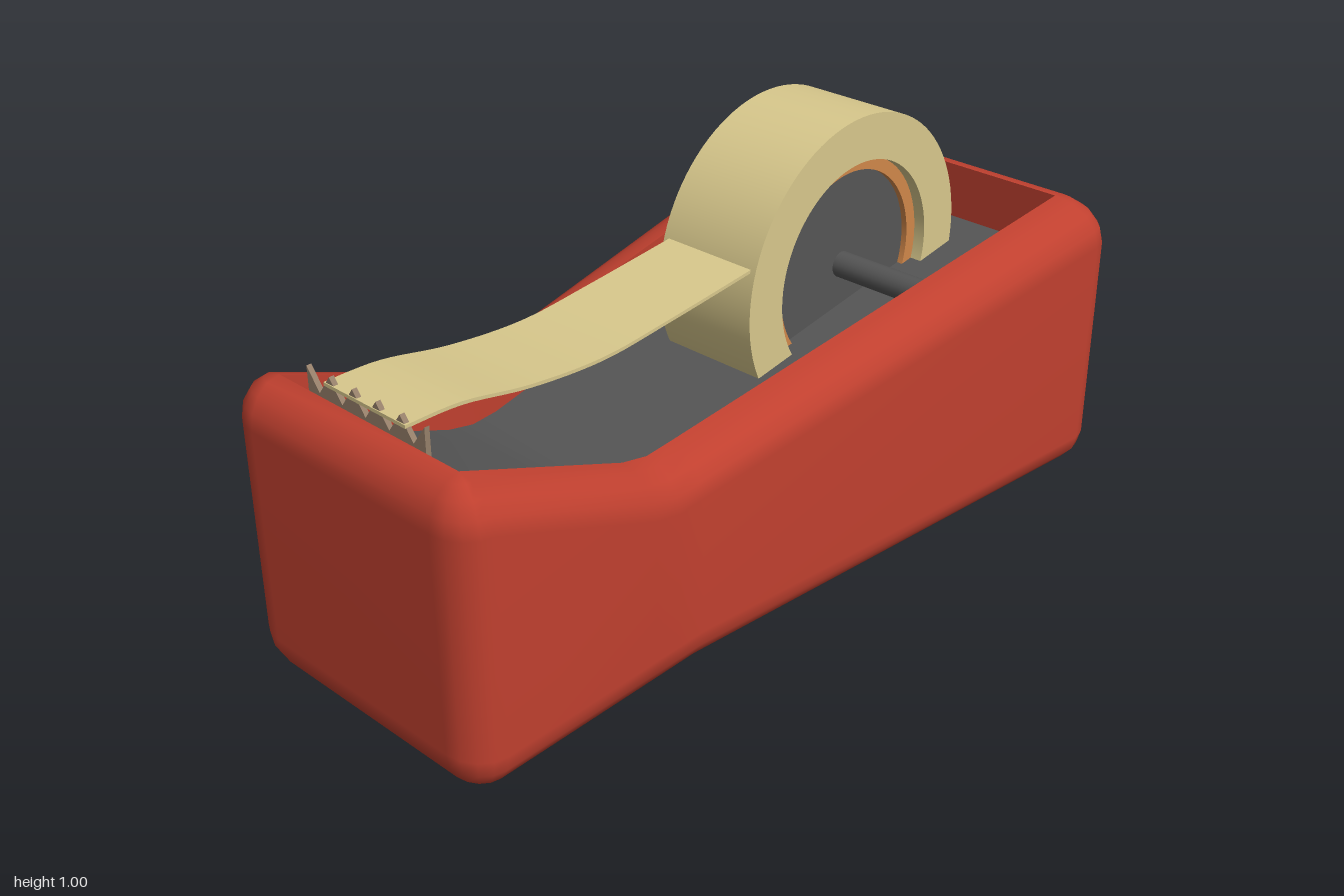
import * as THREE from 'three';
import { mergeVertices, toCreasedNormals } from 'three/addons/utils/BufferGeometryUtils.js';

const mat = (name, color) => {
  const m = new THREE.MeshStandardMaterial({ color });
  m.name = name;
  return m;
};

// Height of the rim along the length
const PROFILE = [[-0.92, 0.712], [-0.5, 0.546], [-0.43, 0.531], [-0.36, 0.536], [0.9, 0.727]];
// Half width of the opening, and how far the rounded wall swells beyond it
const wide = (x) => Math.max(0, (x + 0.36) / 1.26);
const innerZ = (x) => 0.275 + 0.095 * wide(x);
const swellZ = (x) => 0.095 + 0.035 * wide(x);

// Plan outline: front side left to right, then the back mirrored; corners are fans
function outline() {
  const front = [];
  PROFILE.forEach(([x, h], i) => {
    const end = i === 0 ? -1 : i === PROFILE.length - 1 ? 1 : 0;
    const add = (a) => front.push({
      x, h, z: innerZ(x),
      dx: Math.cos(a) * (x < 0 ? 0.08 : 0.1), dz: Math.sin(a) * swellZ(x),
    });
    if (!end) add(Math.PI / 2);
    else for (let k = 0; k <= 4; k++) {
      add(end < 0 ? Math.PI - k * Math.PI / 8 : Math.PI / 2 - k * Math.PI / 8);
    }
  });
  const back = front.map((p) => ({ ...p, z: -p.z, dz: -p.dz })).reverse();
  return [...front, ...back];
}
const OUT = outline();

// Ring of points: swell 0 lies on the opening, 1 on the outside wall
const ring = (swell, height) => OUT.map((p) =>
  [p.x + p.dx * swell, height(p), p.z + p.dz * swell]);

function surface(rings, cap = 0) {
  const n = OUT.length, index = [];
  for (let r = 0; r < rings.length - 1; r++) {
    for (let j = 0; j < n; j++) {
      const a = r * n + j, b = r * n + (j + 1) % n;
      index.push(a, b, b + n, a, b + n, a + n);
    }
  }
  // Cap over the first ring: 1 faces up, -1 faces down
  for (let j = 0; cap && j < n / 2 - 1; j++) {
    const a = j, b = j + 1, c = n - 2 - j, d = n - 1 - j;
    if (cap > 0) index.push(a, b, c, a, c, d);
    else index.push(a, c, b, a, d, c);
  }
  let g = new THREE.BufferGeometry();
  g.setAttribute('position', new THREE.Float32BufferAttribute(rings.flat(2), 3));
  g.setIndex(index);
  g = mergeVertices(g, 1e-4);
  g.computeVertexNormals();
  return g;
}

// Extruded shape centred on z = 0
function slab(shape, depth, crease = 0.5) {
  const g = new THREE.ExtrudeGeometry(shape, { depth, bevelEnabled: false, curveSegments: 48 });
  g.translate(0, 0, -depth / 2);
  return toCreasedNormals(g, crease);
}

function annulus(outer, inner) {
  const s = new THREE.Shape().absarc(0, 0, outer, 0, Math.PI * 2, false);
  s.holes.push(new THREE.Path().absarc(0, 0, inner, 0, Math.PI * 2, true));
  return s;
}

export function createModel() {
  const red = mat('red plastic', 0xc0402f);
  const grey = mat('dark grey', 0x555555);
  const tan = mat('tan tape', 0xd8c88c);
  const orange = mat('orange cardboard', 0xd0874a);
  const steel = mat('brown steel', 0x96806a);

  const group = new THREE.Group();
  group.name = 'tapeDispenser';
  const add = (name, geometry, material, parent = group) => {
    const m = new THREE.Mesh(geometry, material);
    m.name = name;
    parent.add(m);
    return m;
  };

  // Housing with rounded bottom and rim
  const R = 0.1, rings = [];
  for (let k = 0; k <= 4; k++) {
    const a = k * Math.PI / 8;
    rings.push(ring(Math.sin(a), () => R * (1 - Math.cos(a))));
  }
  for (let k = 0; k <= 4; k++) {
    const a = k * Math.PI / 8;
    rings.push(ring(Math.cos(a), (p) => p.h - R * (1 - Math.sin(a))));
  }
  add('housing', surface(rings, -1), red);

  // Opening: inner walls and the recessed tray
  const tray = ring(0, (p) => p.h - 0.14);
  add('innerWall', toCreasedNormals(surface([ring(0, (p) => p.h), tray]), 0.5), red);
  add('tray', surface([tray], 1), grey);

  // Tape roll on its hub and axle
  const roll = new THREE.Group();
  roll.name = 'tapeRoll';
  roll.position.set(0.42, 0.62, 0);
  group.add(roll);
  add('tape', slab(annulus(0.38, 0.268), 0.28), tan, roll);
  add('core', slab(annulus(0.268, 0.236), 0.22), orange, roll);
  const hub = add('hub', new THREE.CylinderGeometry(0.237, 0.237, 0.19, 48), grey, roll);
  const axle = add('axle', new THREE.CylinderGeometry(0.032, 0.032, 0.67, 20), grey, roll);
  hub.rotation.x = axle.rotation.x = Math.PI / 2;

  // Loose strip of tape running to the cutter
  const path = new THREE.SplineCurve([
    [-0.92, 0.75], [-0.78, 0.745], [-0.6, 0.711], [-0.4, 0.695], [-0.2, 0.71], [0.07, 0.738],
  ].map(([x, y]) => new THREE.Vector2(x, y))).getPoints(30);
  const under = path.map((p) => new THREE.Vector2(p.x, p.y - 0.008)).reverse();
  add('tapeStrip', slab(new THREE.Shape([...path, ...under]), 0.25), tan);

  // Toothed cutter across the front end
  const teeth = new THREE.Shape().moveTo(-0.18, 0.58);
  for (let i = 0; i <= 10; i++) teeth.lineTo(-0.18 + i * 0.036, i % 2 ? 0.717 : 0.766);
  teeth.lineTo(0.18, 0.58);
  const cutter = add('cutter', slab(teeth, 0.012, 0.1), steel);
  cutter.rotation.y = Math.PI / 2;
  cutter.position.x = -0.912;

  return group;
}
